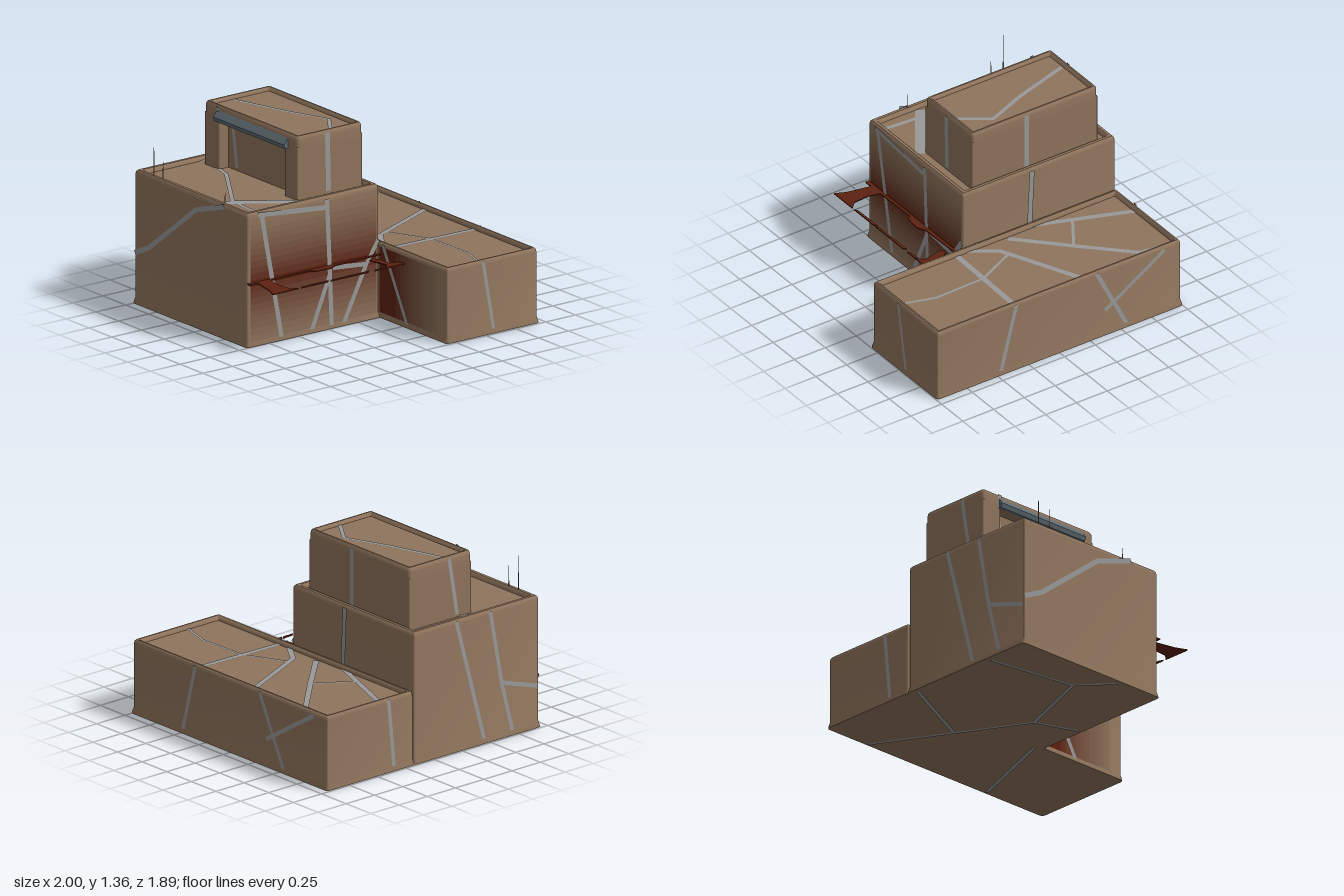
import * as THREE from 'three';
import { toCreasedNormals } from 'three/addons/utils/BufferGeometryUtils.js';
import { RoundedBoxGeometry } from 'three/addons/geometries/RoundedBoxGeometry.js';

const mat = (color, side = THREE.FrontSide) => new THREE.MeshStandardMaterial({ color, side });

// Triangles from a flat list of Vector3
function fromTriangles(tris) {
  const g = new THREE.BufferGeometry().setFromPoints(tris);
  g.computeVertexNormals();
  return g;
}

// Rounded rectangular block lofted through sections [inset, y]; 'c' collapses a section to the centre
function block(x0, x1, z0, z1, sections) {
  const cx = (x0 + x1) / 2, cz = (z0 + z1) / 2;
  const rings = sections.map(([inset, y]) => {
    const ring = [];
    const closed = inset === 'c';
    const d = closed ? 0 : inset, r = Math.max(0.008, 0.025 - d);
    const hx = (x1 - x0) / 2 - d - r, hz = (z1 - z0) / 2 - d - r;
    [[1, 1], [-1, 1], [-1, -1], [1, -1]].forEach(([sx, sz], q) => {
      for (let k = 0; k <= 4; k++) {
        const a = (q + k / 4) * Math.PI / 2;
        ring.push(closed ? new THREE.Vector3(cx, y, cz)
          : new THREE.Vector3(cx + sx * hx + r * Math.cos(a), y, cz + sz * hz + r * Math.sin(a)));
      }
    });
    return ring;
  });
  const tris = [];
  for (let j = 0; j < rings.length - 1; j++) {
    const lo = rings[j], hi = rings[j + 1], n = lo.length;
    for (let i = 0; i < n; i++) {
      const m = (i + 1) % n;
      if (sections[j][0] !== 'c') tris.push(lo[i], hi[i], lo[m]);
      else tris.push(lo[i], hi[i], hi[m]);
      if (sections[j][0] !== 'c' && sections[j + 1][0] !== 'c') tris.push(hi[i], hi[m], lo[m]);
    }
  }
  return toCreasedNormals(fromTriangles(tris), 0.7);
}

// Wall profile: soft top edge, raised rim, sunken roof
const roof = (top, rim, depth) => [[0, top - 0.03], [0.004, top - 0.012], [0.014, top], [rim, top],
  [rim + 0.01, top - 0.01], [rim + 0.015, top - depth], ['c', top - depth]];
const base = [['c', 0.005], [0, 0.005], [0, 0.015], [0.012, 0.05]];
const flaredBase = (top, rim) => [...base,
  ...roof(top, rim, 0.03).map(([d, y]) => [d === 'c' ? d : d + 0.012, y])];

// Maps 2D points onto a wall or roof plane
const onX = x => (z, y) => new THREE.Vector3(x, y, z);
const onY = y => (x, z) => new THREE.Vector3(x, y, z);
const onZ = z => (x, y) => new THREE.Vector3(x, y, z);

// Flat ribbon following a polyline on a plane, with mitred joints
function ribbon(plane, pts, width) {
  const p = pts.map(q => new THREE.Vector2(...q));
  const normal = (a, b) => { const d = b.clone().sub(a).normalize(); return new THREE.Vector2(-d.y, d.x); };
  const sides = p.map((q, i) => {
    const n = new THREE.Vector2();
    if (i > 0) n.add(normal(p[i - 1], q));
    if (i < p.length - 1) n.add(normal(q, p[i + 1]));
    n.normalize().multiplyScalar(width / 2);
    return [plane(q.x + n.x, q.y + n.y), plane(q.x - n.x, q.y - n.y)];
  });
  const tris = [];
  for (let i = 0; i < sides.length - 1; i++) {
    const [a, b] = sides[i], [c, d] = sides[i + 1];
    tris.push(a, b, c, c, b, d);
  }
  return fromTriangles(tris);
}

export function createModel() {
  const model = new THREE.Group();
  const brown = mat(0x8f745c), rust = mat(0x5e2110, THREE.DoubleSide);
  const seam = mat(0x999999, THREE.DoubleSide), blue = mat(0x5f6d74);
  const add = (name, geometry, material, parent = model) => {
    const m = new THREE.Mesh(geometry, material);
    m.name = name;
    parent.add(m);
    return m;
  };
  const box = (name, x0, x1, y0, y1, z0, z1, material = brown) =>
    add(name, new RoundedBoxGeometry(x1 - x0, y1 - y0, z1 - z0, 2, 0.008), material)
      .position.set((x0 + x1) / 2, (y0 + y1) / 2, (z0 + z1) / 2);

  // Main storey and long low rear wing
  add('mainBlock', block(-1, 0.262, -0.182, 0.945, flaredBase(0.94, 0.035)), brown);
  add('rearWing', block(-1, 1, -0.95, -0.168, flaredBase(0.53, 0.025)), brown);

  // Upper storey: core, jambs around the front recess, and roof slab
  box('upperCore', -0.88, 0.14, 0.88, 1.28, -0.12, 0.35);
  box('recessJambRight', -0.88, -0.72, 0.88, 1.28, 0.3, 0.43);
  box('recessJambLeft', 0, 0.14, 0.88, 1.28, 0.3, 0.43);
  add('upperRoof', block(-0.88, 0.14, -0.12, 0.43,
    [['c', 1.25], [0, 1.25], ...roof(1.355, 0.025, 0.025)]), brown);

  // Wedge-shaped hood over the recess
  const hood = new THREE.Shape([[0, 1.33], [0.04, 1.28], [0.03, 1.25], [-0.02, 1.25]]
    .map(p => new THREE.Vector2(...p)));
  const hoodMesh = add('recessHood',
    new THREE.ExtrudeGeometry(hood, { depth: 0.78, bevelEnabled: false }), blue);
  hoodMesh.rotation.y = -Math.PI / 2;
  hoodMesh.position.set(0.04, 0, 0.425);

  // Rust stain bands, darkest beside the balcony and in the inner corner
  const stains = new THREE.Group();
  stains.name = 'rustStains';
  model.add(stains);
  const stainColor = t => mat(new THREE.Color(0x5e2110).lerp(new THREE.Color(0x8f745c), t), THREE.DoubleSide);
  for (let i = 0; i < 20; i++) {
    const y = 0.04 + i * 0.043, t = Math.min(1, Math.abs(y + 0.02 - 0.45) / 0.42);
    add('sideStain', ribbon(onX(0.253), [[-0.15, y + 0.0215], [0.91, y + 0.0215]], 0.043), stainColor(t), stains);
  }
  for (let i = 0; i < 14; i++) {
    const x = 0.27 + i * 0.045;
    add('wingStain', ribbon(onZ(-0.177), [[x, 0.04], [x, 0.5]], 0.045),
      stainColor(Math.max(0, (i - 3) / 11)), stains);
  }

  // Broken balcony: torn floor pieces, rail and wall strip
  const plate = (name, pts) => {
    const g = new THREE.ExtrudeGeometry(new THREE.Shape(pts.map(p => new THREE.Vector2(...p))),
      { depth: 0.008, bevelEnabled: false });
    g.rotateX(Math.PI / 2);
    add(name, g, rust).position.y = 0.452;
  };
  plate('balconyFront', [[0.25, 0.75], [0.36, 0.78], [0.48, 0.77], [0.53, 0.72], [0.53, 0.935], [0.45, 0.9], [0.25, 0.86]]);
  plate('balconyBack', [[0.32, -0.07], [0.36, -0.1], [0.46, -0.1], [0.48, -0.16], [0.53, -0.18], [0.53, -0.02], [0.48, -0.06], [0.33, -0.03]]);
  plate('balconyWallStrip', [[0.24, -0.15], [0.27, -0.17], [0.28, 0.22], [0.31, 0.28], [0.3, 0.4], [0.27, 0.42], [0.28, 0.93], [0.24, 0.93]]);
  [[-0.03, 0.08], [0.11, 0.45], [0.45, 0.7]].forEach(([a, b]) =>
    plate('balconyRail', [[0.51, a], [0.53, a + 0.02], [0.53, b], [0.515, b - 0.02]]));

  // Thin spikes on the front parapet
  [[-0.72, 1.1], [-0.04, 1.05], [-0.82, 1.23]].forEach(([x, top]) => {
    const h = top - 0.92;
    add('parapetSpike', new THREE.ConeGeometry(0.005, h, 5), brown).position.set(x, 0.92 + h / 2, 0.9);
  });

  // Pale seams running over walls, roofs and underside
  const seams = new THREE.Group();
  seams.name = 'seams';
  model.add(seams);
  const crack = (plane, width, ...lines) =>
    lines.forEach(pts => add('seam', ribbon(plane, pts, width), seam, seams));
  crack(onZ(0.938), 0.035, [[-0.98, 0.36], [-0.83, 0.43], [-0.31, 0.83], [0, 0.93]]);
  crack(onZ(0.435), 0.03, [[-0.73, 1.35], [-0.73, 1.25]]);
  crack(onZ(0.355), 0.03, [[-0.67, 1.25], [-0.62, 0.93]]);
  crack(onZ(-0.173), 0.03, [[0.29, 0.52], [0.56, 0.02]]);
  crack(onX(0.257), 0.035, [[0.82, 0.92], [0.65, 0.02]], [[0.27, 0.92], [0.25, 0.5], [0.23, 0.02]],
    [[0.85, 0.92], [0.25, 0.86]], [[0.22, 0.43], [-0.06, 0.4], [-0.16, 0.55]],
    [[-0.06, 0.4], [0.13, 0.02]], [[0.24, 0.4], [0.4, 0.02]]);
  crack(onX(0.144), 0.04, [[0.18, 1.34], [0.17, 0.93]]);
  crack(onX(0.992), 0.025, [[-0.48, 0.52], [-0.57, 0.02]]);
  crack(onX(-0.992), 0.03, [[-0.4, 0.52], [-0.35, 0.02]], [[0.2, 0.93], [0.45, 0.02]],
    [[0.5, 0.93], [0.6, 0.4], [0.7, 0.02]], [[0.6, 0.4], [0.92, 0.3]]);
  crack(onX(-0.884), 0.03, [[0.23, 1.34], [0.3, 0.93]]);
  crack(onZ(-0.943), 0.03, [[0.35, 0.52], [0.48, 0.02]], [[-0.3, 0.52], [-0.55, 0.02]],
    [[-0.37, 0.2], [-0.85, 0.5]]);
  crack(onZ(-0.124), 0.04, [[-0.3, 1.34], [-0.3, 0.93]]);
  crack(onZ(-0.187), 0.04, [[-0.3, 0.93], [-0.28, 0.5]]);
  crack(onY(0.504), 0.04, [[-0.84, -0.9], [-0.7, -0.88], [-0.38, -0.56], [-0.07, -0.24]],
    [[-0.2, -0.9], [0.06, -0.33], [0.25, -0.2]], [[0.35, -0.9], [0.33, -0.21]], [[-0.96, -0.45], [-0.27, -0.19]]);
  crack(onY(0.505), 0.02, [[-0.38, -0.56], [-0.55, -0.3]],
    [[0.03, -0.39], [0.34, -0.54], [0.73, -0.55], [0.96, -0.48]]);
  crack(onY(1.334), 0.03, [[-0.83, 0.23], [-0.4, 0.1], [-0.1, -0.02], [0.1, 0.12]]);
  crack(onY(0.914), 0.03, [[-0.94, 0.42], [-0.85, 0.3], [-0.75, 0.42], [-0.6, 0.46], [-0.1, 0.79], [0.2, 0.81]]);
  crack(onY(0.915), 0.07, [[0.18, 0.43], [-0.12, 0.86]]);
  crack(onY(0), 0.03, [[0.23, 0.2], [-0.08, 0.09], [-0.64, -0.93]], [[-0.08, 0.09], [-0.3, 0.69], [-0.1, 0.92]],
    [[0.46, -0.93], [0.2, -0.2]], [[-0.3, 0.69], [-0.97, 0.6]], [[-0.35, -0.4], [-0.97, -0.1]]);
  return model;
}
